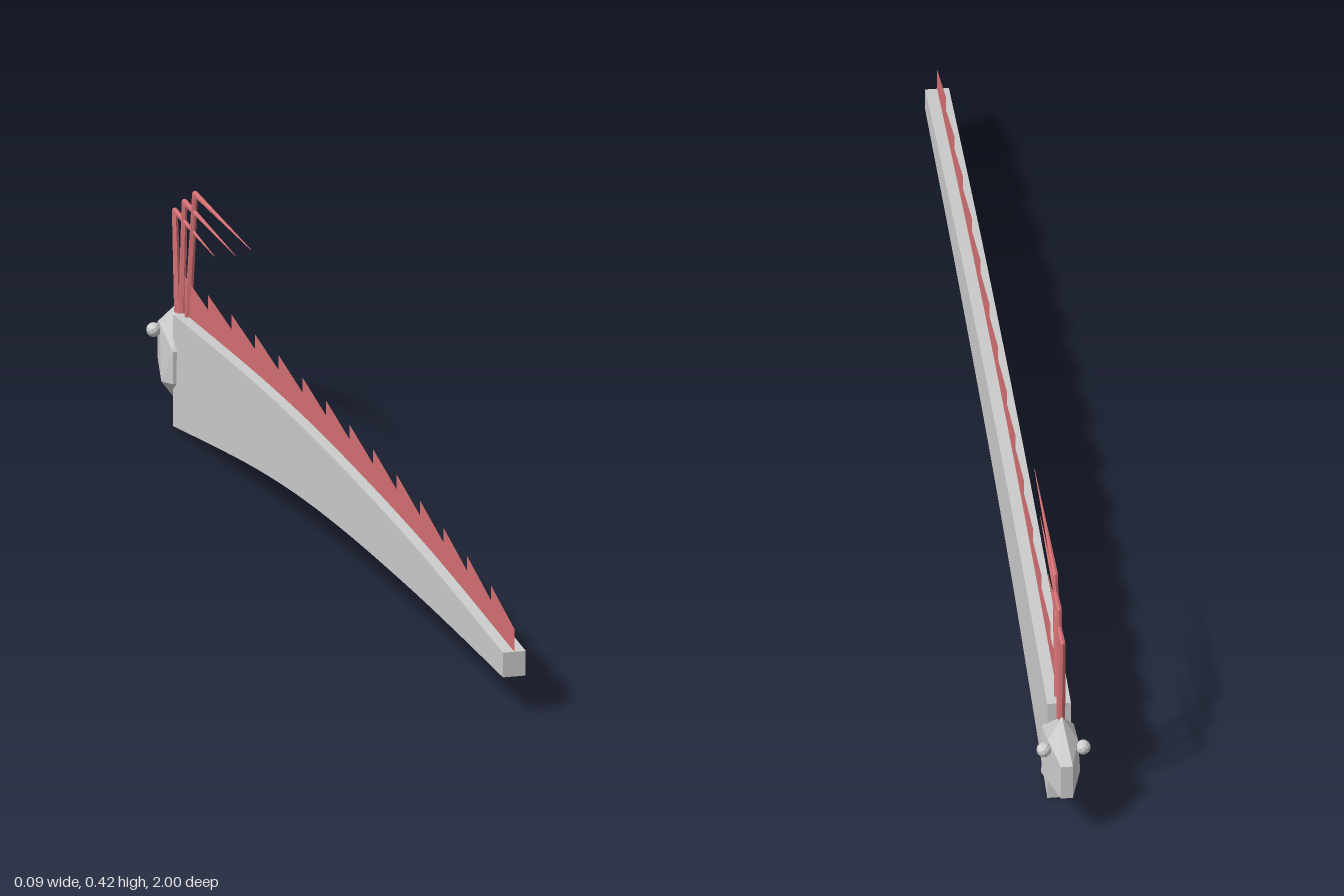
import * as THREE from 'three';
import { ConvexGeometry } from 'three/addons/geometries/ConvexGeometry.js';

const V = (x, y, z) => new THREE.Vector3(x, y, z);
const grey = new THREE.MeshStandardMaterial({ color: 0xcccccc, flatShading: true });
const red = new THREE.MeshStandardMaterial({ color: 0xd57073, flatShading: true, side: THREE.DoubleSide });

const TAIL = 1, NECK = -0.88, TEETH = 14;

// Smooth back and belly lines, given as (z, y)
const line = (pts) => new THREE.SplineCurve(pts.map(([z, y]) => new THREE.Vector2(z, y))).getPoints(28);
const back = line([[TAIL, 0.108], [0.5, 0.159], [0, 0.19], [-0.4, 0.2], [NECK, 0.195]]);
const belly = line([[TAIL, 0.065], [0.5, 0.078], [0, 0.076], [-0.4, 0.053], [NECK, 0]]);

// Height of the back line at a given z
function backY(z) {
  for (let i = 1; i < back.length; i++) {
    const a = back[i - 1], b = back[i];
    if (z >= b.x - 1e-6) return THREE.MathUtils.mapLinear(z, a.x, b.x, a.y, b.y);
  }
  return back[back.length - 1].y;
}

function add(parent, name, geometry, material) {
  const mesh = new THREE.Mesh(geometry, material);
  mesh.name = name;
  parent.add(mesh);
  return mesh;
}

// Straight tapered rod between two points
function rod(a, b, r0, r1) {
  const dir = b.clone().sub(a);
  const geo = new THREE.CylinderGeometry(r1, r0, dir.length(), 6);
  geo.applyQuaternion(new THREE.Quaternion().setFromUnitVectors(V(0, 1, 0), dir.normalize()));
  return geo.translate((a.x + b.x) / 2, (a.y + b.y) / 2, (a.z + b.z) / 2);
}

export function createModel() {
  const group = new THREE.Group();
  group.name = 'ribbonFish';

  // Long slab body, profile extruded across x
  const profile = new THREE.Shape([...back, ...belly.slice().reverse()]);
  const body = new THREE.ExtrudeGeometry(profile, { depth: 0.04, bevelEnabled: false });
  body.translate(0, 0, -0.02).rotateY(-Math.PI / 2);
  add(group, 'body', body, grey);

  // Paper-thin sawtooth fin along the back
  const teeth = [];
  const step = (TAIL - NECK) / TEETH;
  for (let i = 0; i < TEETH; i++) {
    const z0 = TAIL - i * step, z1 = z0 - step;
    teeth.push(new THREE.Vector2(z0, backY(z0) + 0.04), new THREE.Vector2(z1, backY(z1) + 0.066));
  }
  const fin = new THREE.ShapeGeometry(new THREE.Shape([...teeth, ...back.slice().reverse()]));
  add(group, 'dorsalFin', fin.rotateY(-Math.PI / 2), red);

  // Faceted head, narrow at the snout
  const points = [V(0, 0.2, -0.925), V(0, 0.03, -0.92)];
  for (const s of [-1, 1]) {
    points.push(
      V(s * 0.01, 0.15, -1), V(s * 0.01, 0.085, -1),
      V(s * 0.025, 0.163, -0.94), V(s * 0.033, 0.072, -0.905),
      V(s * 0.027, 0.135, -0.858), V(s * 0.026, 0.078, -0.862));
  }
  add(group, 'head', new ConvexGeometry(points), grey);

  // Eyes on the sides of the head
  for (const [side, name] of [[1, 'leftEye'], [-1, 'rightEye']]) {
    add(group, name, new THREE.IcosahedronGeometry(0.013, 1), grey).position.set(side * 0.033, 0.151, -0.948);
  }

  // Three bent crest rays: stalk, then a whip sweeping backwards
  const rays = [
    [V(0, 0.13, -0.868), V(0, 0.42, -0.82), V(0, 0.407, -0.5)],
    [V(0, 0.15, -0.895), V(0, 0.39, -0.88), V(0, 0.373, -0.59)],
    [V(0, 0.17, -0.915), V(0, 0.36, -0.935), V(0, 0.34, -0.71)],
  ];
  rays.forEach(([base, bend, tip], i) => {
    const ray = new THREE.Group();
    ray.name = `crestRay${i + 1}`;
    add(ray, 'stalk', rod(base, bend, 0.007, 0.005), red);
    add(ray, 'joint', new THREE.IcosahedronGeometry(0.005, 0).translate(bend.x, bend.y, bend.z), red);
    add(ray, 'whip', rod(bend, tip, 0.005, 0.0005), red);
    group.add(ray);
  });

  return group;
}
